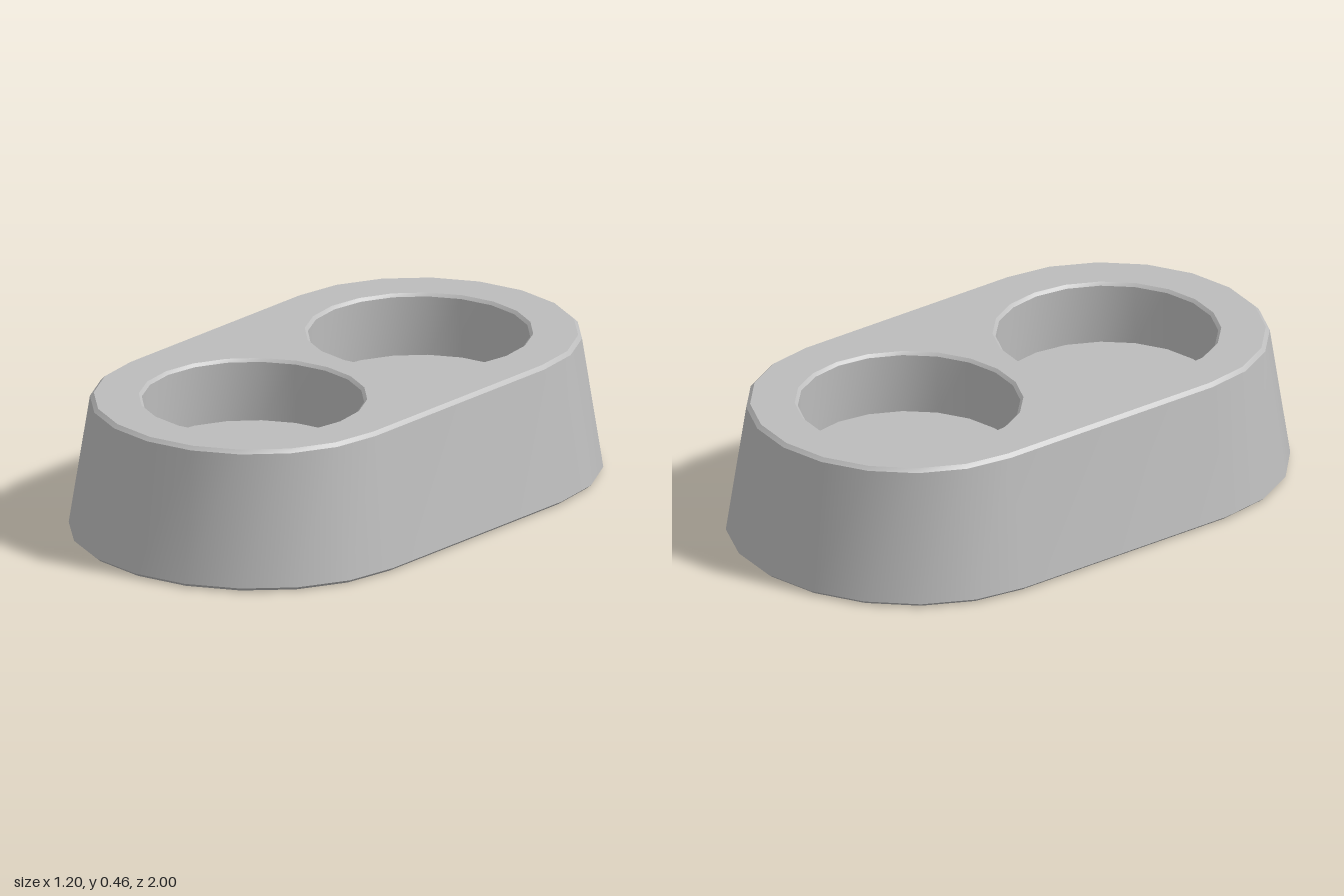
import * as THREE from 'three';
import { toCreasedNormals } from 'three/addons/utils/BufferGeometryUtils.js';

const HEIGHT = 0.46;
const FLOOR = 0.25;
const WELL_Z = 0.413;
const WELL_R = 0.36;
const BEVEL = 0.01;

// Two half ellipses of ten sides each, their centres c in front of and behind the middle
function outline(hx, hz, c) {
  const points = [];
  for (const half of [0, 1]) {
    for (let k = 0; k <= 10; k++) {
      const a = (half + k / 10) * Math.PI;
      points.push(new THREE.Vector2(hx * Math.cos(a), (half ? -c : c) + (hz - c) * Math.sin(a)));
    }
  }
  return points;
}

// A twenty-sided ring whose centre is at z
function circle(r, z) {
  return Array.from({ length: 20 }, (_, k) => {
    const a = (k * Math.PI) / 10;
    return new THREE.Vector2(r * Math.cos(a), z + r * Math.sin(a));
  });
}

// Skin joining closed rings of equal point count, each given as { y, points }
function loft(rings) {
  const n = rings[0].points.length;
  const positions = rings.flatMap(({ y, points }) => points.flatMap((p) => [p.x, y, p.y]));
  const index = [];
  for (let r = 0; r < rings.length - 1; r++) {
    for (let i = 0; i < n; i++) {
      const a = r * n + i;
      const b = r * n + ((i + 1) % n);
      index.push(a, a + n, b, b, a + n, b + n);
    }
  }
  const geometry = new THREE.BufferGeometry();
  geometry.setAttribute('position', new THREE.Float32BufferAttribute(positions, 3));
  geometry.setIndex(index);
  return toCreasedNormals(geometry, 0.6);
}

export function createModel() {
  const group = new THREE.Group();
  const grey = new THREE.MeshStandardMaterial({ color: 0xbcbcbc });
  grey.name = 'grey';

  function add(name, geometry, y = 0, z = 0) {
    const mesh = new THREE.Mesh(geometry, grey);
    mesh.name = name;
    mesh.position.set(0, y, z);
    group.add(mesh);
  }

  // Sloping outer wall with narrow bevels at both edges
  const base = outline(0.585, 0.985, 0.42);
  const rim = outline(0.515, 0.925, 0.42);
  add('outerWall', loft([
    { y: 0, points: base },
    { y: 0.012, points: outline(0.6, 1, 0.42) },
    { y: HEIGHT - 0.012, points: outline(0.527, 0.938, 0.42) },
    { y: HEIGHT, points: rim },
  ]));

  // Flat underside
  add('underside', new THREE.ShapeGeometry(new THREE.Shape(base)).rotateX(Math.PI / 2));

  // Top plate with two round openings
  const top = new THREE.Shape(rim);
  for (const z of [-WELL_Z, WELL_Z]) {
    top.holes.push(new THREE.Path(circle(WELL_R + BEVEL, z)));
  }
  add('topPlate', new THREE.ShapeGeometry(top).rotateX(-Math.PI / 2), HEIGHT);

  // Round bowls sunk into the top
  for (const [side, z] of [['back', -WELL_Z], ['front', WELL_Z]]) {
    add(side + 'BowlWall', loft([
      { y: HEIGHT, points: circle(WELL_R + BEVEL, 0) },
      { y: HEIGHT - BEVEL, points: circle(WELL_R, 0) },
      { y: FLOOR, points: circle(WELL_R, 0) },
    ]), 0, z);
    add(side + 'BowlFloor', new THREE.CircleGeometry(WELL_R, 20).rotateX(-Math.PI / 2), FLOOR, z);
  }

  return group;
}
